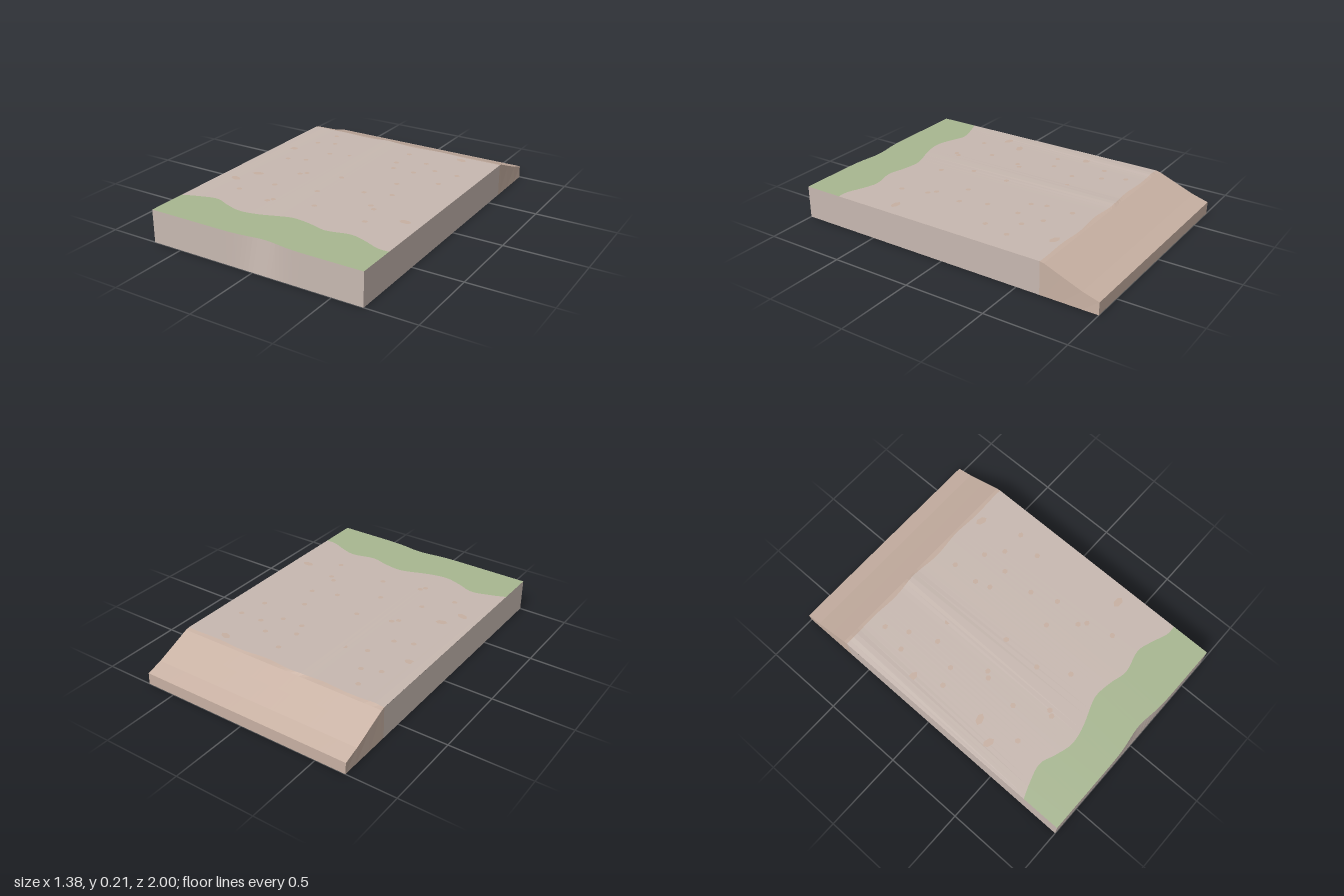
import * as THREE from 'three';

const W = 0.69, H = 0.203, N = 48;
const mat = (color) => new THREE.MeshStandardMaterial({
  color, roughness: 1, flatShading: true, side: THREE.DoubleSide,
});
const path = mat(0xc8b9b1), sand = mat(0xc8b1a3), grass = mat(0xa8b791);

// Sheet lofted through rows of points; each row is a function of t in 0..1
function loft(name, material, rows, n = N) {
  const pos = [], idx = [];
  for (const row of rows) for (let i = 0; i <= n; i++) pos.push(...row(i / n));
  for (let r = 0; r < rows.length - 1; r++) {
    for (let i = 0; i < n; i++) {
      const a = r * (n + 1) + i, b = a + n + 1;
      idx.push(a, b, a + 1, a + 1, b, b + 1);
    }
  }
  const geo = new THREE.BufferGeometry();
  geo.setAttribute('position', new THREE.Float32BufferAttribute(pos, 3));
  geo.setIndex(idx);
  geo.computeVertexNormals();
  const mesh = new THREE.Mesh(geo, material);
  mesh.name = name;
  return mesh;
}

const xAt = (t) => (2 * t - 1) * W;
const bump = (x, c, w) => Math.exp(-(((x - c) / w) ** 2));

// Wavy border between path and grass
const border = new THREE.SplineCurve([
  [-0.69, 0.755], [-0.6, 0.72], [-0.48, 0.69], [-0.38, 0.725], [-0.27, 0.755], [-0.15, 0.738],
  [0, 0.685], [0.07, 0.675], [0.17, 0.69], [0.28, 0.715], [0.42, 0.685], [0.52, 0.71],
  [0.62, 0.75], [0.69, 0.752],
].map(([x, z]) => new THREE.Vector2(x, z)));
const grassRow = (t) => { const p = border.getPoint(t); return [p.x, H, p.y]; };

// Front edge, dipping inward near the middle
const frontRow = (t) => [xAt(t), H, 1 - 0.023 * bump(xAt(t), 0.07, 0.13)];

// Crest of the sandy ramp
const crestRow = (t) => {
  const x = xAt(t);
  const fade = Math.sin(Math.PI * t);
  return [x, H + 0.004 * (bump(x, -0.13, 0.05) + bump(x, -0.62, 0.04)), -0.645 + 0.008 * fade * Math.sin(x * 16)];
};
const flatRow = (y, z, shift = 0) => (t) => [xAt(t) + shift, y, z];

// Side walls: ramp profile from crest to back
const profile = [[-0.645, H], [-0.67, 0.198], [-0.78, 0.153], [-0.9, 0.105], [-1, 0.075]];
const shiftAt = (z) => -0.004 * Math.max(0, (-z - 0.645) / 0.355);

function sideWall(s) {
  const g = new THREE.Group();
  g.name = s > 0 ? 'leftWall' : 'rightWall';
  const order = (rows) => (s > 0 ? rows : rows.reverse());
  g.add(loft('pathSide', path, order([
    (t) => [s * W, H, 1 - 1.645 * t],
    (t) => [s * W, 0, 1 - 1.645 * t],
  ]), 1));
  const n = profile.length - 1;
  g.add(loft('rampSide', sand, order([
    (t) => { const [z, y] = profile[Math.round(t * n)]; return [s * W + shiftAt(z), y, z]; },
    (t) => [s * W, 0, profile[Math.round(t * n)][0]],
  ]), n));
  return g;
}

export function createModel() {
  const model = new THREE.Group();
  model.name = 'groundTile';

  // Upper surfaces
  model.add(loft('pathTop', path, [crestRow, grassRow]));
  model.add(loft('grassStrip', grass, [grassRow, frontRow]));
  model.add(loft('sandRamp', sand, [
    ...profile.slice(1).reverse().map(([z, y]) => flatRow(y, z, shiftAt(z))), crestRow,
  ]));

  // Walls; the underside stays open
  model.add(loft('frontWall', path, [frontRow, flatRow(0, 1)]));
  model.add(loft('backWall', sand, [flatRow(0, -1), flatRow(0.075, -1, -0.004)]));
  model.add(sideWall(1), sideWall(-1));

  // Sand flecks lying on the path
  const small = [
    [-0.46, -0.55], [0.12, -0.51], [-0.16, -0.47], [-0.39, -0.42], [0.29, -0.42], [-0.5, -0.38],
    [0.12, -0.34], [0.39, -0.34], [0.54, -0.34], [-0.19, -0.29], [-0.32, -0.25], [0.15, -0.25],
    [0.29, -0.25], [-0.09, -0.17], [0.5, -0.17], [-0.39, -0.08], [-0.5, -0.04], [0.29, -0.04],
    [-0.04, 0.05], [-0.26, 0.1], [-0.29, 0.13], [0.35, 0.12], [0.19, 0.17], [-0.05, 0.3],
    [0.32, 0.31], [0.36, 0.345], [-0.32, 0.35], [-0.46, 0.51], [0.05, 0.48], [0.4, 0.51],
    [-0.2, 0.53], [-0.22, 0.56],
  ];
  const large = [[0.45, -0.59], [-0.58, -0.21], [-0.51, 0.26], [-0.58, 0.39], [0.59, 0.4]];
  const flecks = new THREE.Group();
  flecks.name = 'sandFlecks';
  const addFleck = ([x, z], w, d, i) => {
    const m = new THREE.Mesh(new THREE.CircleGeometry(0.5, 6).rotateX(-Math.PI / 2), sand);
    m.name = 'fleck';
    m.scale.set(w, 1, d);
    m.rotation.y = (i % 3 - 1) * 0.3;
    m.position.set(x, H + 0.001, z);
    flecks.add(m);
  };
  small.forEach((p, i) => addFleck(p, 0.036, 0.034, i));
  large.forEach((p, i) => addFleck(p, 0.075, 0.045, i));
  model.add(flecks);

  return model;
}
